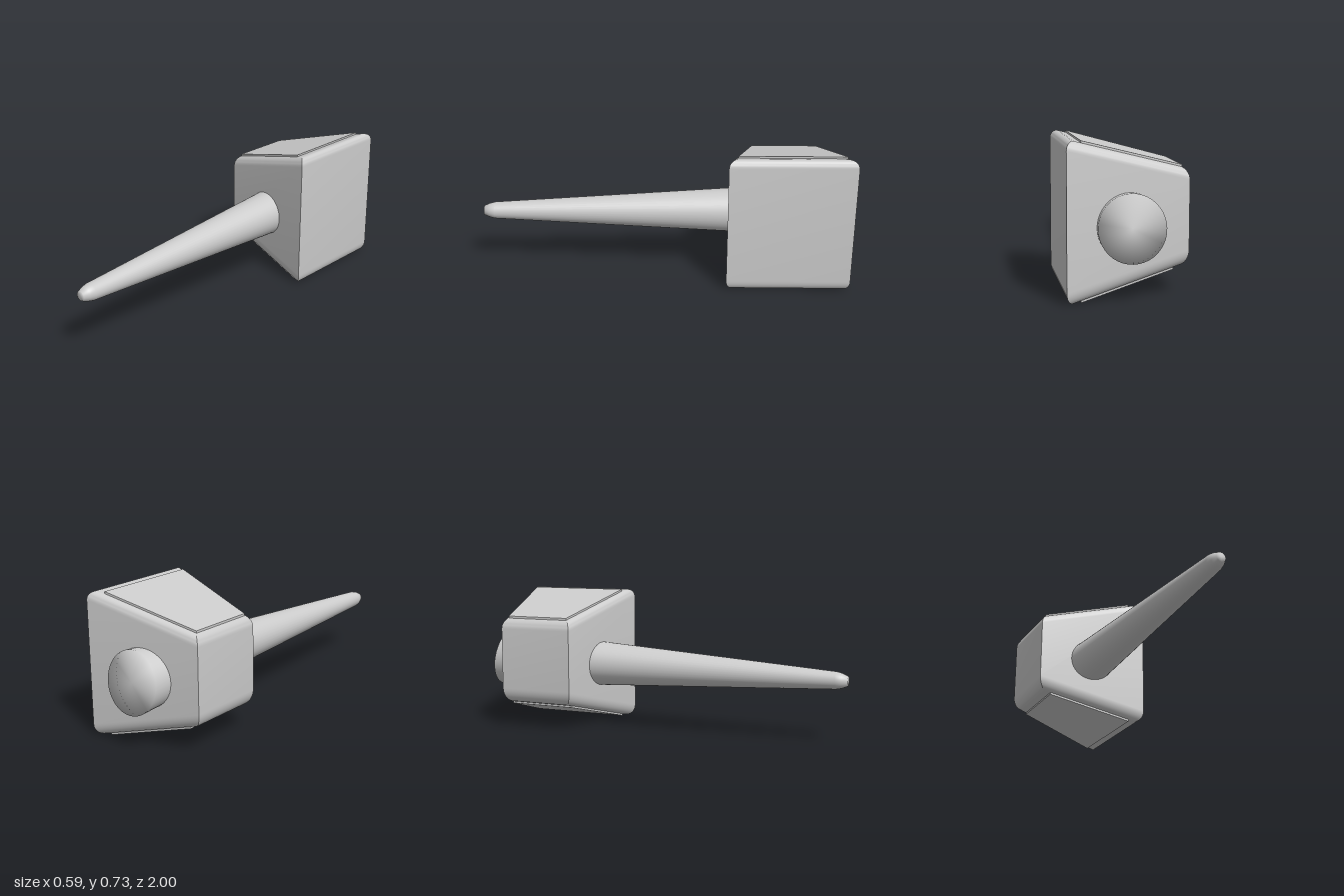
import * as THREE from 'three';
import { toCreasedNormals } from 'three/addons/utils/BufferGeometryUtils.js';

const material = new THREE.MeshStandardMaterial({ color: 0xcccccc });

// Wedge-shaped head: height planes and half depth vary along x
const HALF_X = 0.293, CENTRE_Z = -0.635;
const topY = (x) => 0.667 + 0.262 * x;
const bottomY = (x) => 0.070 - 0.266 * x;
const halfZ = (x) => 0.265 + 0.207 * x;

// Four corners of a horizontal ring, inset from the walls
function ring(x0, x1, inset, height) {
  return [[x0, 1], [x1, 1], [x1, -1], [x0, -1]].map(([x, s]) =>
    [x, height(x), CENTRE_Z + s * (halfZ(x) - inset)]);
}

// Skin a stack of rings, bottom to top, and close both ends
function loft(rings, crease) {
  const positions = [], index = [];
  rings.forEach((r) => r.forEach((p) => positions.push(...p)));
  const n = rings[0].length;
  for (let i = 0; i < rings.length - 1; i++) {
    for (let j = 0; j < n; j++) {
      const a = i * n + j, b = i * n + (j + 1) % n;
      index.push(a, b, b + n, a, b + n, a + n);
    }
  }
  const t = (rings.length - 1) * n;
  for (let j = 1; j < n - 1; j++) {
    index.push(0, j + 1, j, t, t + j, t + j + 1);
  }
  const g = new THREE.BufferGeometry();
  g.setAttribute('position', new THREE.Float32BufferAttribute(positions, 3));
  g.setIndex(index);
  return toCreasedNormals(g, crease);
}

function headGeometry() {
  const steps = 8, lower = [], upper = [];
  for (let i = 0; i <= steps; i++) {
    const a = (i / steps) * Math.PI / 2;
    const inset = 0.04 * (1 - Math.cos(a));
    const x = HALF_X - inset;
    lower.unshift(ring(-x, x, inset, (v) => bottomY(v) + 0.065 * (1 - Math.sin(a))));
    upper.push(ring(-x, x, inset, (v) => topY(v) + 0.05 * (Math.sin(a) - 1)));
  }
  return loft([...lower, ...upper], 0.5);
}

// Thin raised panel on the sloping top or bottom
function panelGeometry(x0, x1, low, high) {
  return loft([ring(x0, x1, 0.035, low), ring(x0, x1, 0.035, high)], 0.5);
}

// Tapered handle along z, with a rounded tip and an obliquely cut rear end
function handleGeometry() {
  const profile = [[0, -1], [0.156, -1], [0.12, -0.37], [0.045, 0.94], [0.038, 0.97], [0.025, 1], [0, 1]]
    .map(([r, z]) => new THREE.Vector2(r, z));
  const g = new THREE.LatheGeometry(profile, 40);
  g.rotateX(Math.PI / 2);
  const p = g.attributes.position;
  for (let i = 0; i < p.count; i++) {
    const z = p.getZ(i), y = p.getY(i);
    if (z < -0.9) p.setZ(i, -0.977 + 0.148 * y);
    p.setY(i, y + 0.334 - 0.011 * z);
  }
  g.computeVertexNormals();
  return g;
}

export function createModel() {
  const group = new THREE.Group();
  const add = (name, geometry) => {
    const mesh = new THREE.Mesh(geometry, material);
    mesh.name = name;
    group.add(mesh);
  };
  add('head', headGeometry());
  add('topPanel', panelGeometry(-0.262, 0.222, (x) => topY(x) - 0.015, (x) => topY(x) + 0.01));
  add('bottomPanel', panelGeometry(-0.222, 0.222, (x) => bottomY(x) - 0.01, (x) => bottomY(x) + 0.015));
  add('handle', handleGeometry());
  return group;
}
